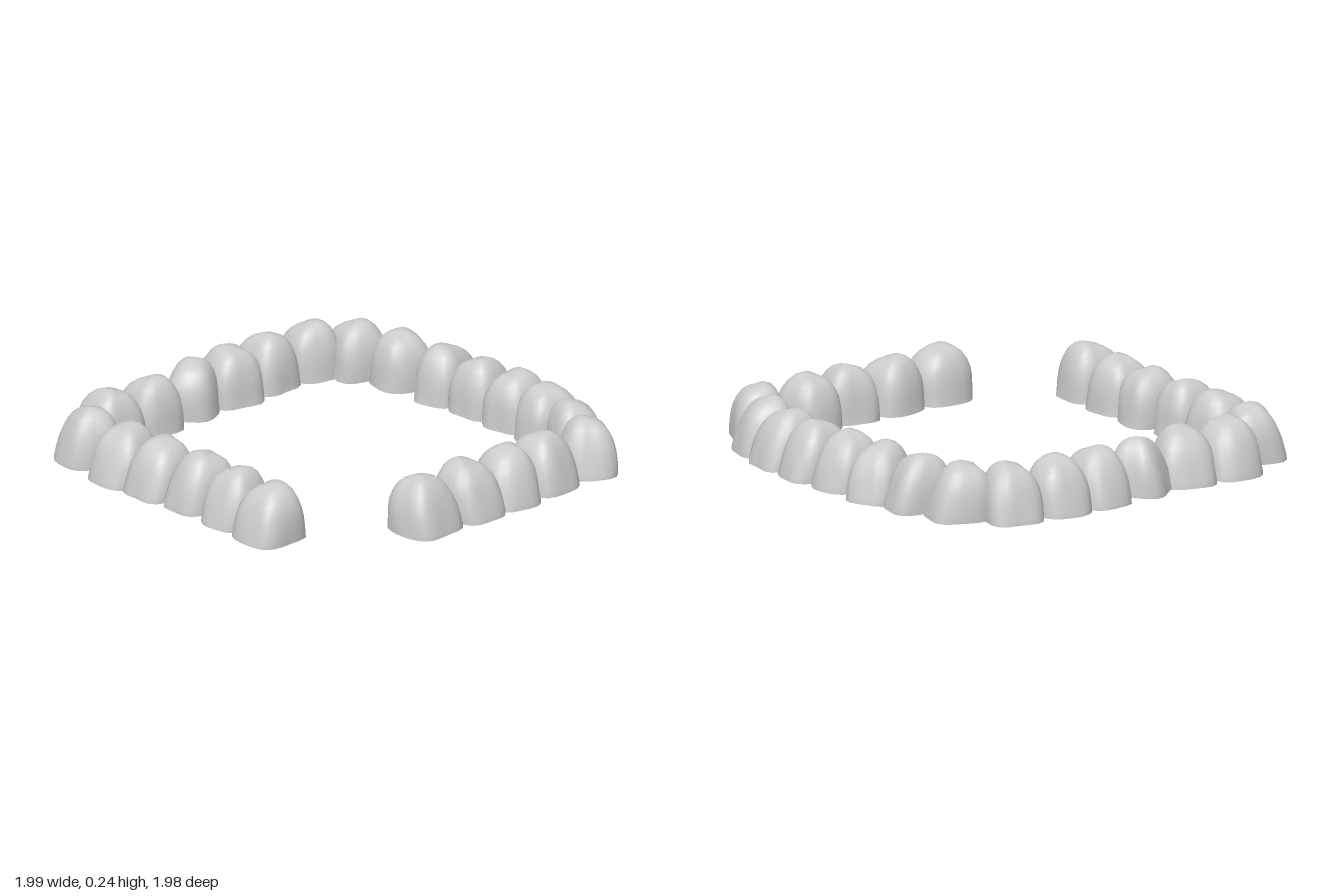
import * as THREE from 'three';

// x, z, outward heading in degrees, width along the row, depth across it
const STONES = [
  // back row
  [-0.56, -0.845, 175, 0.255, 0.295], [-0.325, -0.83, 168, 0.25, 0.27], [-0.09, -0.835, 215, 0.24, 0.25],
  [0.15, -0.84, 172, 0.245, 0.29], [0.375, -0.845, 178, 0.24, 0.28], [0.605, -0.815, 166, 0.245, 0.27],
  // left-hand side (+x)
  [0.76, -0.66, 72, 0.235, 0.28], [0.81, -0.44, 76, 0.23, 0.28], [0.835, -0.21, 108, 0.225, 0.3],
  [0.84, 0.01, 94, 0.235, 0.28], [0.84, 0.23, 90, 0.235, 0.3], [0.82, 0.44, 80, 0.24, 0.3],
  // front corner and front row
  [0.775, 0.65, 65, 0.24, 0.255], [0.66, 0.835, -29, 0.235, 0.255], [0.405, 0.825, 5, 0.245, 0.285],
  [0.18, 0.84, -12, 0.245, 0.28], [-0.05, 0.83, 4, 0.25, 0.29], [-0.305, 0.825, 2, 0.275, 0.28],
  // right-hand side (-x)
  [-0.78, -0.74, -112, 0.245, 0.265], [-0.815, -0.485, -84, 0.255, 0.29], [-0.815, -0.26, -92, 0.24, 0.285],
  [-0.8, -0.03, -99, 0.235, 0.29], [-0.82, 0.2, -86, 0.24, 0.28], [-0.85, 0.44, -95, 0.255, 0.285],
];

// height, width scale, depth scale, inward shift of each cross-section
const RINGS = [
  [0, 1, 1, 0], [0.02, 1, 0.98, 0], [0.06, 0.99, 0.93, 0.004], [0.1, 0.96, 0.88, 0.008],
  [0.14, 0.9, 0.8, 0.012], [0.175, 0.79, 0.7, 0.015], [0.205, 0.64, 0.57, 0.018],
  [0.226, 0.45, 0.4, 0.02], [0.236, 0.23, 0.22, 0.02],
];
const SEGMENTS = 24;

// One rounded, tapering block with a gently uneven surface
function stoneGeometry(width, depth, seed) {
  const positions = [], index = [];
  const point = (ring, a) => {
    const [y, sw, sd, shift] = ring;
    const c = Math.cos(a), s = Math.sin(a);
    const square = Math.pow(Math.abs(c) ** 3.6 + Math.abs(s) ** 3.6, -1 / 3.6);
    const uneven = 1 + 0.03 * Math.sin(3 * a + seed * 2.1 + y * 7) + 0.02 * Math.sin(5 * a + seed * 1.3 - y * 16);
    const r = square * uneven;
    const slope = y > 0.15 ? 0.1 * (y - 0.15) * Math.sin(a + seed * 1.7) : 0;
    return [c * r * sw * width / 2, y + slope, s * r * sd * depth / 2 - shift];
  };
  for (const ring of RINGS)
    for (let i = 0; i < SEGMENTS; i++) positions.push(...point(ring, i / SEGMENTS * Math.PI * 2));
  for (let j = 0; j < RINGS.length - 1; j++)
    for (let i = 0; i < SEGMENTS; i++) {
      const a = j * SEGMENTS + i, b = j * SEGMENTS + (i + 1) % SEGMENTS;
      index.push(a, a + SEGMENTS, b, b, a + SEGMENTS, b + SEGMENTS);
    }
  // crown
  const last = (RINGS.length - 1) * SEGMENTS;
  const crown = positions.length / 3;
  positions.push(0, 0.24, -0.02);
  for (let i = 0; i < SEGMENTS; i++) index.push(last + i, crown, last + (i + 1) % SEGMENTS);
  // flat underside with its own vertices, for a sharp lower edge
  const base = positions.length / 3;
  positions.push(...positions.slice(0, SEGMENTS * 3), 0, 0, 0);
  for (let i = 0; i < SEGMENTS; i++) index.push(base + i, base + (i + 1) % SEGMENTS, base + SEGMENTS);

  const geometry = new THREE.BufferGeometry();
  geometry.setAttribute('position', new THREE.Float32BufferAttribute(positions, 3));
  geometry.setIndex(index);
  geometry.computeVertexNormals();
  return geometry;
}

export function createModel() {
  const group = new THREE.Group();
  group.name = 'stoneBorder';
  const material = new THREE.MeshStandardMaterial({ color: 0xcccccc });
  STONES.forEach(([x, z, heading, width, depth], i) => {
    const stone = new THREE.Mesh(stoneGeometry(width, depth, i + 1), material);
    stone.name = `stone${i + 1}`;
    stone.position.set(x, 0, z);
    stone.rotation.y = THREE.MathUtils.degToRad(heading);
    group.add(stone);
  });
  return group;
}
